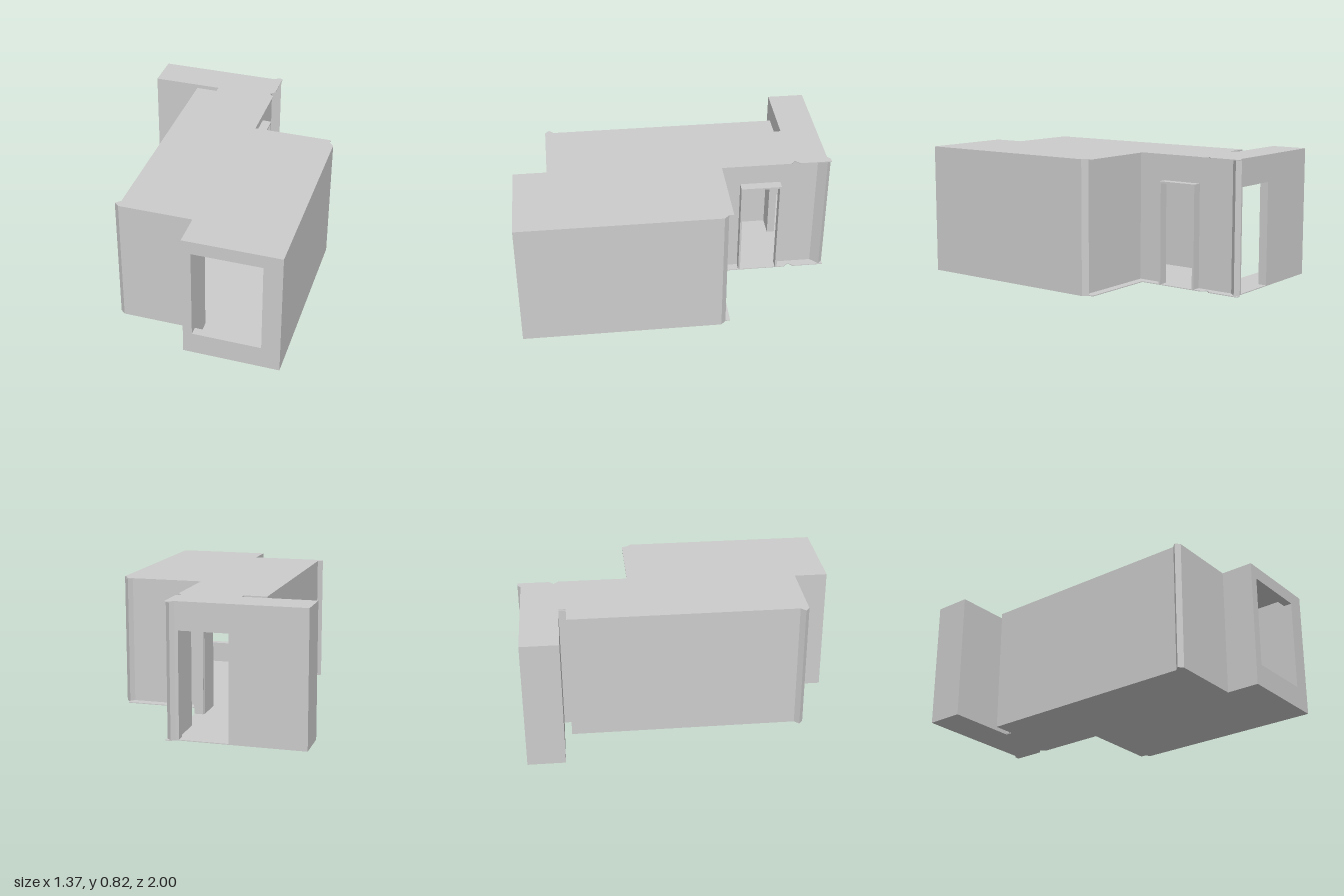
import * as THREE from 'three';

const H = 0.825;   // overall height
const S = 0.005;   // slab and thin wall thickness
const T = 0.055;   // thick wall

export function createModel() {
  const model = new THREE.Group();
  const mat = new THREE.MeshStandardMaterial({ color: 0xcccccc, flatShading: true });

  const add = (name, geo) => {
    const mesh = new THREE.Mesh(geo, mat);
    mesh.name = name;
    model.add(mesh);
    return mesh;
  };

  // Extrude a plan outline of [x, z] points upwards
  const plan = (name, pts, y0 = S, y1 = H - S) => {
    const shape = new THREE.Shape(pts.map(([x, z]) => new THREE.Vector2(x, -z)));
    const geo = new THREE.ExtrudeGeometry(shape, { depth: y1 - y0, bevelEnabled: false });
    geo.rotateX(-Math.PI / 2).translate(0, y0, 0);
    return add(name, geo);
  };

  const box = (name, x0, x1, z0, z1, y0 = S, y1 = H - S) => {
    const geo = new THREE.BoxGeometry(x1 - x0, y1 - y0, z1 - z0);
    geo.translate((x0 + x1) / 2, (y0 + y1) / 2, (z0 + z1) / 2);
    return add(name, geo);
  };

  // Rectangular frame: outer and inner given as [u0, u1, v0, v1], extruded along z
  const frame = (outer, inner, depth) => {
    const rect = (path, [u0, u1, v0, v1]) =>
      path.moveTo(u0, v0).lineTo(u1, v0).lineTo(u1, v1).lineTo(u0, v1).closePath();
    const shape = rect(new THREE.Shape(), outer);
    shape.holes.push(rect(new THREE.Path(), inner));
    return new THREE.ExtrudeGeometry(shape, { depth, bevelEnabled: false });
  };

  // Floor and ceiling share one outline
  const outline = [
    [-0.685, -0.98], [0.1, -0.98], [0.125, -1], [0.155, -1], [0.155, -0.8],
    [0.125, -0.77], [0.155, -0.74], [0.155, -0.3], [0.655, -0.3], [0.655, -0.27],
    [0.685, -0.24], [0.685, 1], [0.085, 1], [0.085, 0.79], [-0.375, 0.79],
    [-0.405, 0.765], [-0.375, 0.735], [-0.375, -0.7], [-0.235, -0.7],
    [-0.235, -0.745], [-0.685, -0.745],
  ];
  plan('floor', outline, 0, S);
  plan('ceiling', outline, H - S, H);

  // Front wall with the window
  add('windowWall', frame([0.085, 0.685, S, H - S], [0.142, 0.57, 0.145, 0.74], T))
    .position.z = 1 - T;

  // Thick outer walls with pointed ends
  plan('leftWall', [[0.685, 1 - T], [0.685, -0.24], [0.655, -0.27], [0.63, -0.24], [0.63, 1 - T]]);
  box('bayWall', 0.085, 0.14, 0.735, 1 - T);
  plan('frontWall', [[0.085, 0.79], [-0.375, 0.79], [-0.405, 0.765], [-0.375, 0.735], [0.085, 0.735]]);

  // Thin walls around the main room
  box('rightWall', -0.375, -0.37, -0.7, 0.735);
  box('rightSoffit', -0.37, -0.315, -0.695, 0.735, 0.785, H - S);
  box('recessWall', 0.095, 0.63, -0.245, -0.24);
  box('roomBackWall', -0.37, -0.235, -0.7, -0.695);
  box('passageJamb', -0.24, -0.235, -0.745, -0.7);

  // Side wall with doorway
  const zA = -0.925, zB = -0.245, d0 = -0.69, d1 = -0.43, doorTop = 0.655;
  box('doorWallBack', 0.095, 0.1, zA, d0);
  box('doorWallFront', 0.095, 0.1, d1, zB);
  box('doorWallHeader', 0.095, 0.1, d0, d1, doorTop);

  // Door lining standing out from the wall
  const lx0 = 0.1, lx1 = 0.16, w = 0.012;
  box('doorLiningBack', lx0, lx1, d0, d0 + w, S, doorTop);
  box('doorLiningFront', lx0, lx1, d1 - w, d1, S, doorTop);
  box('doorLiningTop', lx0, lx1, d0 + w, d1 - w, doorTop - w, doorTop);

  // Back wall with doorway, and its pointed corner post
  const b0 = -0.98, b1 = -0.98 + T;
  box('backWallRight', -0.685, -0.22, b0, b1);
  box('backWallLeft', 0.08, 0.1, b0, b1);
  box('backWallHeader', -0.22, 0.08, b0, b1, doorTop);
  plan('cornerPost', [[0.1, -0.98], [0.125, -1], [0.152, -0.975], [0.1, -0.925]]);

  // Corridor end and its outer skin, seen only from outside
  box('corridorEnd', -0.685, -0.68, b1, -0.745);
  const skin = new THREE.PlaneGeometry(0.45, H - 2 * S);
  add('corridorFrontWall', skin).position.set(-0.46, H / 2, -0.745);

  return model;
}
